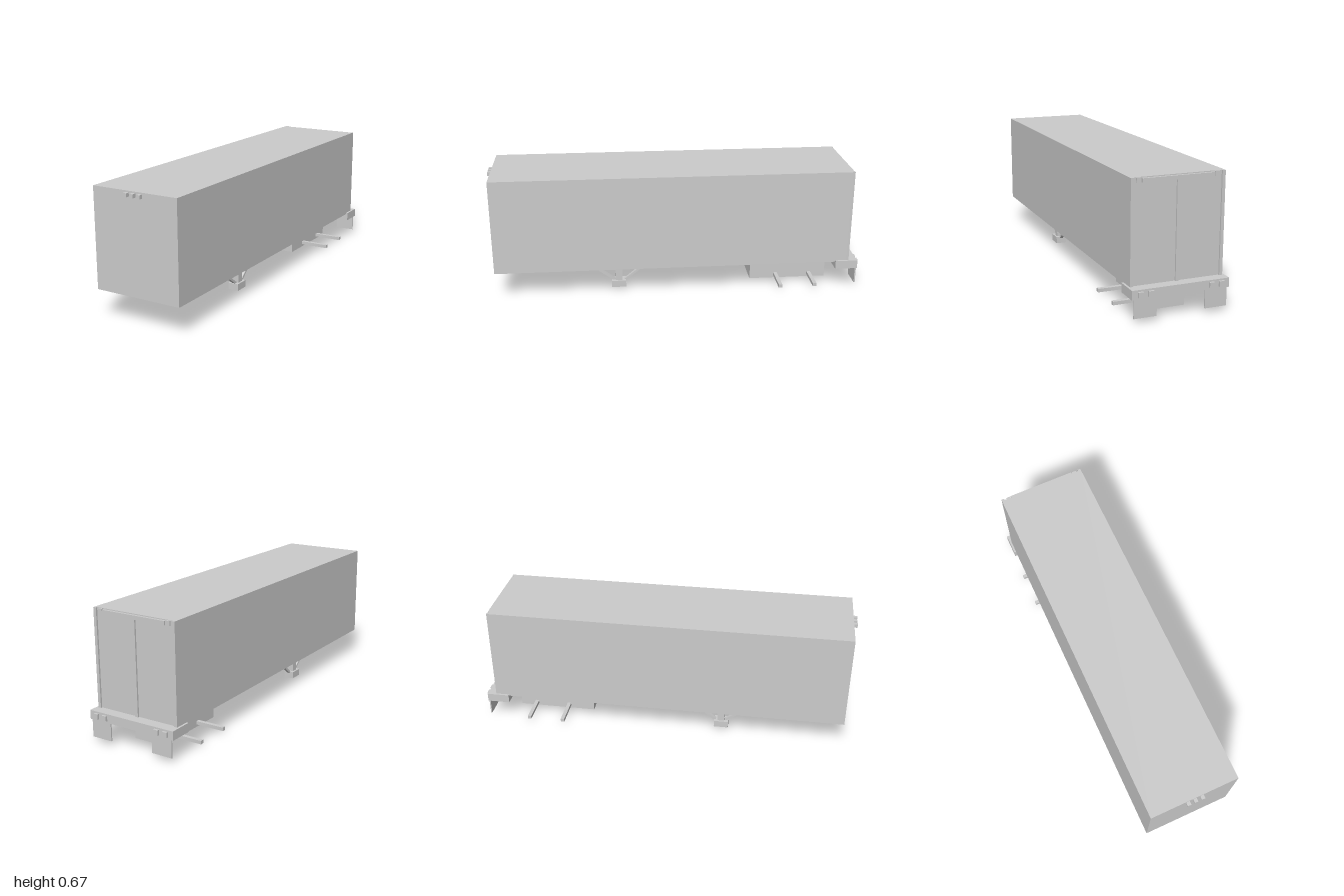
import * as THREE from 'three';

const material = new THREE.MeshStandardMaterial({ color: 0xcccccc, flatShading: true });

// Box given by its low and high limits on each axis
function box(parent, name, [x0, x1], [y0, y1], [z0, z1]) {
  const mesh = new THREE.Mesh(new THREE.BoxGeometry(x1 - x0, y1 - y0, z1 - z0), material);
  mesh.position.set((x0 + x1) / 2, (y0 + y1) / 2, (z0 + z1) / 2);
  mesh.name = name;
  parent.add(mesh);
  return mesh;
}

// Same box on the left or right side; a and b are distances from the middle
const span = (side, a, b) => (side > 0 ? [a, b] : [-b, -a]);

// Sloping bar in the y-z plane
function brace(parent, x, [y0, z0], [y1, z1]) {
  const from = new THREE.Vector3(x, y0, z0);
  const to = new THREE.Vector3(x, y1, z1);
  const mesh = new THREE.Mesh(new THREE.BoxGeometry(0.018, 0.012, from.distanceTo(to)), material);
  mesh.position.copy(from).add(to).multiplyScalar(0.5);
  mesh.lookAt(to);
  mesh.name = 'landingGearBrace';
  parent.add(mesh);
}

export function createModel() {
  const model = new THREE.Group();
  model.name = 'boxTrailer';

  // Cargo body
  box(model, 'cargoBody', [-0.238, 0.238], [0.155, 0.67], [-0.933, 0.98]);

  // Marker lights on the front wall
  for (const x of [-0.038, 0, 0.038]) {
    box(model, 'frontMarkerLight', [x - 0.0095, x + 0.0095], [0.643, 0.662], [0.975, 1]);
  }

  // Coupling block
  box(model, 'couplingBlock', [-0.048, 0.038], [0.117, 0.16], [0.71, 0.748]);

  // Rear door frame
  const doors = new THREE.Group();
  doors.name = 'rearDoorFrame';
  model.add(doors);
  box(doors, 'doorCentrePost', [-0.008, 0.008], [0.16, 0.645], [-0.942, -0.93]);
  box(doors, 'doorHeader', [-0.182, 0.182], [0.645, 0.665], [-0.945, -0.93]);
  for (const side of [-1, 1]) {
    box(doors, 'doorSidePost', span(side, 0.222, 0.238), [0.155, 0.67], [-0.942, -0.93]);
    box(doors, 'doorHeaderLight', span(side, 0.186, 0.21), [0.645, 0.668], [-0.942, -0.93]);
  }

  // Landing gear
  for (const side of [-1, 1]) {
    const gear = new THREE.Group();
    gear.name = side > 0 ? 'leftLandingGear' : 'rightLandingGear';
    model.add(gear);
    box(gear, 'landingGearLeg', span(side, 0.126, 0.163), [0.05, 0.16], [0.298, 0.335]);
    box(gear, 'landingGearFoot', span(side, 0.116, 0.173), [0.021, 0.058], [0.279, 0.357]);
    brace(gear, side * 0.144, [0.053, 0.335], [0.16, 0.48]);
    brace(gear, side * 0.144, [0.053, 0.285], [0.16, 0.155]);
  }

  // Wheel carriage and its axles
  box(model, 'wheelCarriage', [-0.087, 0.087], [0.002, 0.16], [-0.852, -0.423]);
  for (const z of [-0.568, -0.759]) {
    box(model, 'axle', [-0.249, 0.249], [0.016, 0.034], [z - 0.01, z + 0.01]);
  }

  // Rear bumper with mud flaps and tail lights
  box(model, 'rearBumper', [-0.249, 0.249], [0.117, 0.163], [-0.989, -0.868]);
  for (const side of [-1, 1]) {
    box(model, 'mudFlap', span(side, 0.124, 0.238), [0.026, 0.12], [-0.988, -0.981]);
    for (const x of [0.156, 0.207]) {
      box(model, 'tailLight', span(side, x - 0.013, x + 0.013), [0.127, 0.154], [-1, -0.98]);
    }
  }

  return model;
}
